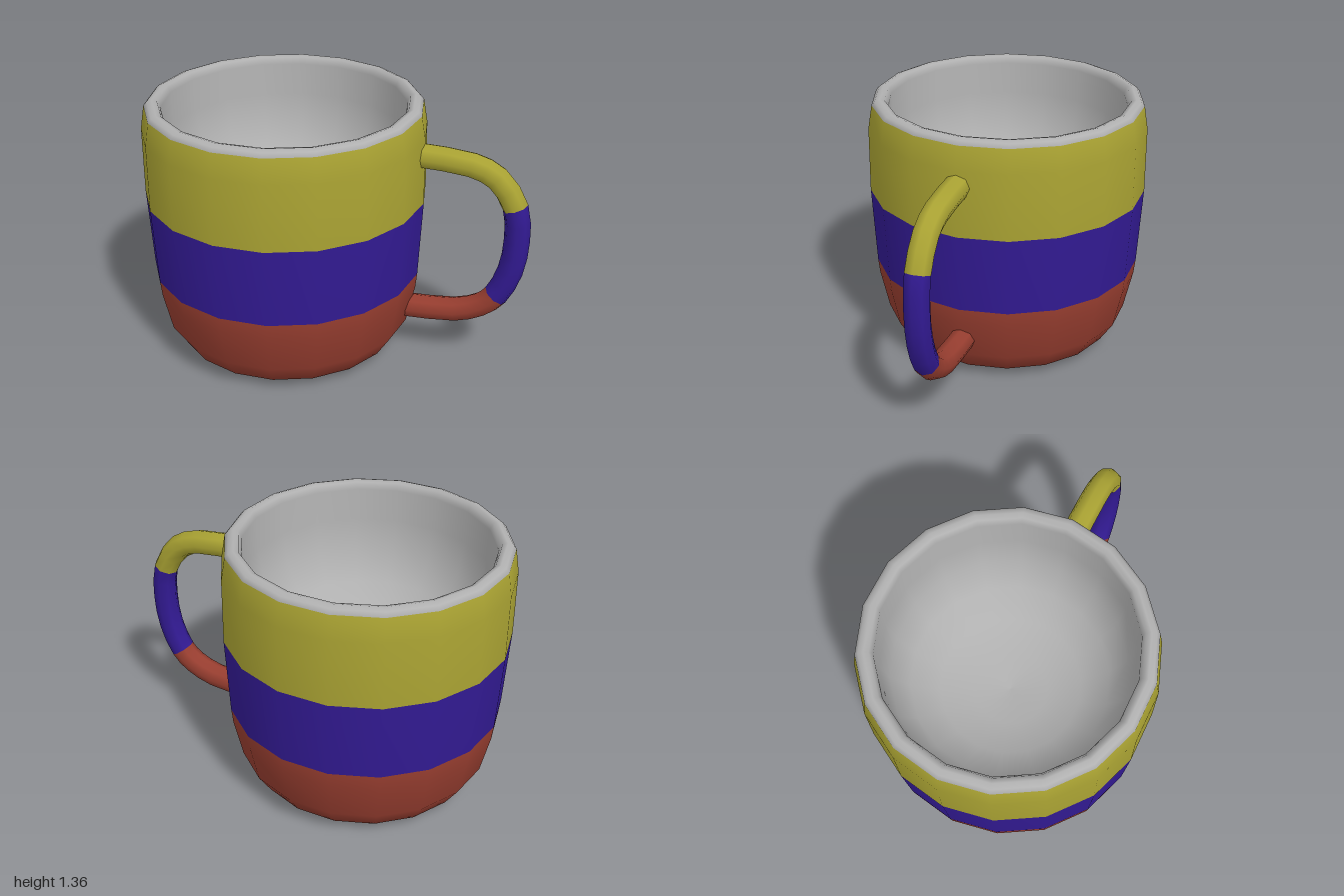
import * as THREE from 'three';

const paint = (name, color) => {
  const m = new THREE.MeshStandardMaterial({ color });
  m.name = name;
  return m;
};

export function createModel() {
  const materials = [
    paint('brick red', 0x983e30),
    paint('indigo', 0x321a92),
    paint('olive yellow', 0xaaa333),
    paint('light grey', 0xb0b0b0),
  ];
  const group = new THREE.Group();
  group.name = 'mug';

  // Cup: one closed profile, from under the base, over the rim, to the bowl-shaped inside
  const profile = [
    [0, 0], [0.4, 0.018], [0.585, 0.056], [0.655, 0.165], [0.7, 0.375], [0.708, 0.456],
    [0.728, 0.868], [0.724, 1.21], [0.703, 1.333],
    [0.686, 1.352], [0.66, 1.362], [0.635, 1.355], [0.62, 1.32], [0.615, 1.15], [0.585, 0.98],
    [0.5, 0.83], [0.36, 0.73], [0.19, 0.68], [0, 0.66],
  ].map(([r, y]) => new THREE.Vector2(r, y));
  const sides = 18;
  const cupGeometry = new THREE.LatheGeometry(profile, sides, Math.PI / 2);
  cupGeometry.translate(-0.273, 0, 0);

  // Colour bands: faces reordered so that each band of profile rows is one group
  const rows = profile.length;
  const bandEnds = [5, 6, 8, rows - 1];
  const index = [];
  let row = 0;
  bandEnds.forEach((end, band) => {
    const start = index.length;
    for (; row < end; row++) {
      for (let i = 0; i < sides; i++) {
        const a = i * rows + row, b = a + rows, c = b + 1, d = a + 1;
        index.push(a, b, d, c, d, b);
      }
    }
    cupGeometry.addGroup(start, index.length - start, band);
  });
  cupGeometry.setIndex(index);
  const cup = new THREE.Mesh(cupGeometry, materials);
  cup.name = 'cup';
  group.add(cup);

  // Handle: octagonal tube with rings at each path point and halfway between
  const path = [
    [0.4, 1.13], [0.69, 1.108], [0.815, 1.053], [0.914, 0.908], [0.934, 0.73],
    [0.913, 0.55], [0.848, 0.397], [0.775, 0.329], [0.64, 0.278], [0.36, 0.262],
  ].map(([x, y]) => new THREE.Vector3(x, y, 0));
  const curve = new THREE.CatmullRomCurve3(path);
  curve.getPointAt = curve.getPoint;
  curve.getTangentAt = curve.getTangent;
  const handleGeometry = new THREE.TubeGeometry(curve, 2 * (path.length - 1), 0.065, 8);
  const perBand = 6 * 8 * 6;
  [2, 1, 0].forEach((colour, i) => handleGeometry.addGroup(i * perBand, perBand, colour));
  const handle = new THREE.Mesh(handleGeometry, materials);
  handle.name = 'handle';
  group.add(handle);

  return group;
}
